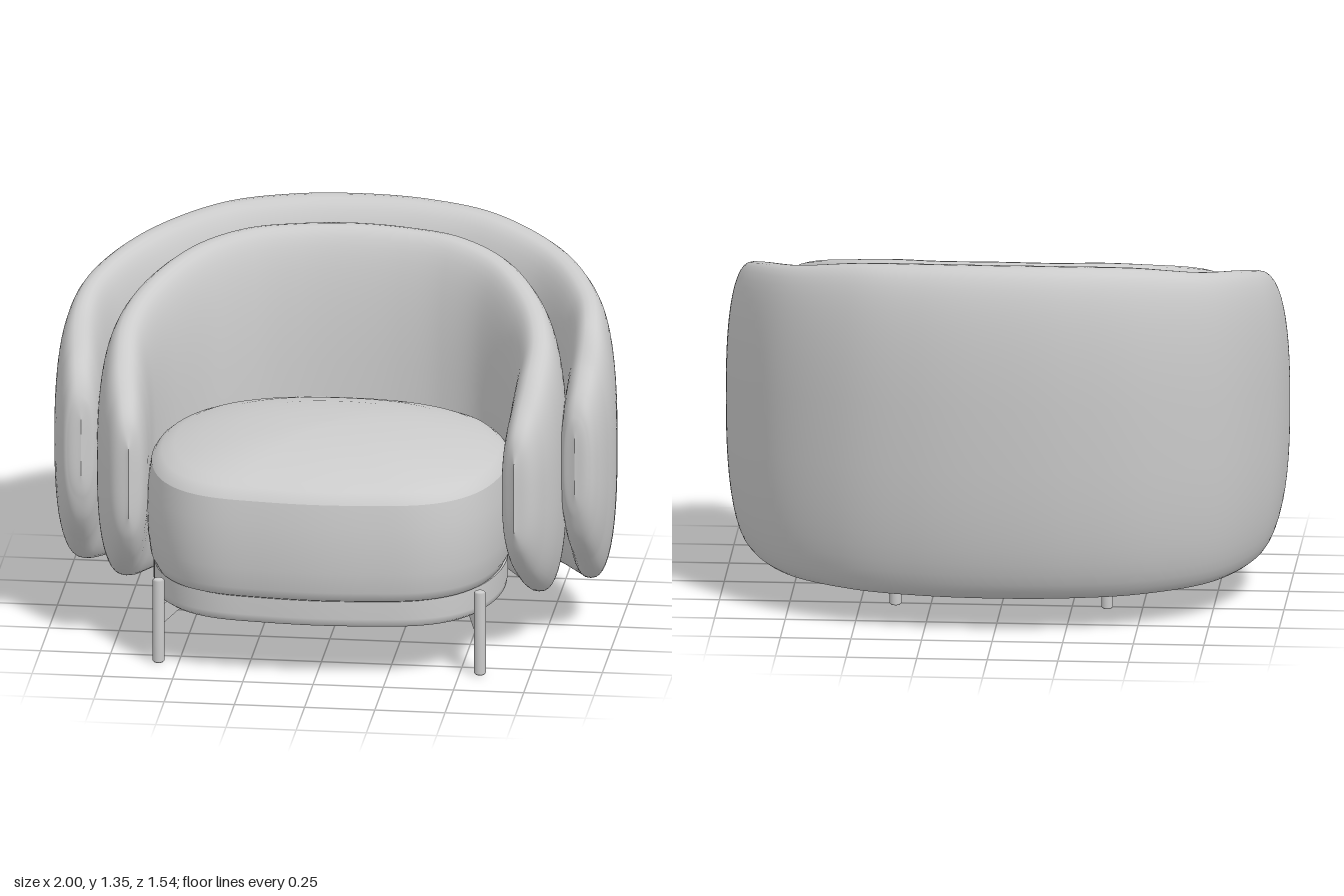
import * as THREE from 'three';

const material = new THREE.MeshStandardMaterial({ color: 0xcccccc, side: THREE.DoubleSide });

function addMesh(group, name, geometry) {
  const mesh = new THREE.Mesh(geometry, material);
  mesh.name = name;
  group.add(mesh);
  return mesh;
}

// Skins a list of closed rings, each an array of [x, y, z]
function loft(rings) {
  const n = rings[0].length, index = [];
  for (let i = 0; i < rings.length - 1; i++) {
    for (let j = 0; j < n; j++) {
      const a = i * n + j, b = i * n + (j + 1) % n;
      index.push(a, b, a + n, b, b + n, a + n);
    }
  }
  const geometry = new THREE.BufferGeometry();
  geometry.setAttribute('position', new THREE.Float32BufferAttribute(rings.flat(2), 3));
  geometry.setIndex(index);
  geometry.computeVertexNormals();
  return geometry;
}

const power = (v, e) => Math.sign(v) * Math.abs(v) ** e;

// Padded shell: oval section swept round the seat.
// Stations run from the middle of the back to the arm tip: x, z, top, bottom, half thickness
function shell(stations, lean) {
  const mirrored = stations.slice(1).reverse().map(([x, ...rest]) => [-x, ...rest]);
  const all = [...mirrored, ...stations];
  const curve = (pick) => new THREE.CatmullRomCurve3(
    all.map((s) => new THREE.Vector3(...pick(s))), false, 'catmullrom', 0.5);
  const path = curve((s) => [s[0], 0, s[1]]);
  const size = curve((s) => [s[2], s[3], s[4]]);
  const steps = 216, sides = 48, rings = [];
  for (let i = 0; i <= steps; i++) {
    const t = i / steps, c = path.getPoint(t), d = path.getTangent(t), s = size.getPoint(t);
    const mid = (s.x + s.y) / 2, half = (s.x - s.y) / 2;
    const ring = [];
    for (let j = 0; j < sides; j++) {
      const a = j / sides * Math.PI * 2;
      const u = power(Math.cos(a), 0.8) * s.z, v = power(Math.sin(a), 0.8);
      const backLean = lean * v * Math.max(d.x, 0) ** 2;
      ring.push([c.x + d.z * u, mid + half * v, c.z - d.x * u - backLean]);
    }
    rings.push(ring);
  }
  return loft(rings);
}

// Rounded seat plan, lofted through [scale, y] pairs
const planHalf = [[0, 0.768], [0.2, 0.755], [0.38, 0.725], [0.49, 0.665], [0.575, 0.56],
  [0.63, 0.4], [0.648, 0.2], [0.615, 0], [0.5, -0.19], [0.3, -0.305], [0, -0.345]];
const plan = new THREE.CatmullRomCurve3(
  [...planHalf, ...planHalf.slice(1, -1).reverse().map(([x, z]) => [-x, z])]
    .map(([x, z]) => new THREE.Vector3(x, 0, z)), true);

function cushion(profile, widen) {
  const points = plan.getPoints(120).slice(0, -1), centre = 0.21;
  return loft(profile.map(([k, y]) =>
    points.map((p) => [p.x * k * widen, y, centre + (p.z - centre) * k])));
}

export function createModel() {
  const group = new THREE.Group();

  addMesh(group, 'outerShell', shell([
    [0, -0.63, 1.35, 0.12, 0.138], [0.25, -0.61, 1.345, 0.12, 0.136],
    [0.49, -0.54, 1.325, 0.12, 0.128], [0.72, -0.385, 1.27, 0.125, 0.112],
    [0.86, -0.15, 1.215, 0.145, 0.1], [0.905, 0.05, 1.15, 0.2, 0.093],
    [0.9, 0.18, 1.03, 0.31, 0.085], [0.89, 0.26, 0.95, 0.41, 0.07],
    [0.882, 0.298, 0.88, 0.51, 0.048], [0.878, 0.313, 0.8, 0.6, 0],
  ], 0.03));

  addMesh(group, 'innerShell', shell([
    [0, -0.435, 1.31, 0.14, 0.11], [0.2, -0.42, 1.305, 0.14, 0.11],
    [0.38, -0.37, 1.295, 0.14, 0.11], [0.545, -0.26, 1.26, 0.14, 0.108],
    [0.67, -0.07, 1.2, 0.14, 0.105], [0.73, 0.12, 1.13, 0.165, 0.1],
    [0.73, 0.28, 1.04, 0.23, 0.095], [0.71, 0.4, 0.94, 0.32, 0.08],
    [0.695, 0.475, 0.86, 0.42, 0.055], [0.685, 0.512, 0.76, 0.52, 0],
  ], 0.025));

  // Repeated pairs keep a crisp seam
  addMesh(group, 'seatCushion', cushion([
    [0, 0.303], [0.92, 0.303], [0.92, 0.303], [0.955, 0.312], [0.98, 0.345], [0.995, 0.42], [1, 0.5],
    [0.995, 0.59], [0.975, 0.672], [0.975, 0.672], [0.955, 0.69], [0.92, 0.709], [0.85, 0.728],
    [0.7, 0.755], [0.5, 0.78], [0.25, 0.796], [0, 0.8],
  ], 1));
  addMesh(group, 'seatBase', cushion([
    [0, 0.205], [0.885, 0.205], [0.885, 0.205], [0.905, 0.215], [0.91, 0.235], [0.91, 0.31],
    [0.91, 0.31], [0, 0.31],
  ], 1.06));

  // Round legs joined by a slanting rail on each side
  const leg = (h) => new THREE.LatheGeometry([[0, 0], [0.016, 0], [0.021, 0.006], [0.021, h - 0.006],
    [0.016, h], [0, h]].map(([x, y]) => new THREE.Vector2(x, y)), 20);
  for (const [side, word] of [[1, 'left'], [-1, 'right']]) {
    const front = new THREE.Vector3(side * 0.572, 0, 0.567);
    const back = new THREE.Vector3(side * 0.375, 0, -0.267);
    addMesh(group, word + 'FrontLeg', leg(0.31)).position.copy(front);
    addMesh(group, word + 'BackLeg', leg(0.21)).position.copy(back);
    const rail = addMesh(group, word + 'Rail',
      new THREE.BoxGeometry(0.025, 0.07, front.distanceTo(back)));
    rail.position.addVectors(front, back).multiplyScalar(0.5).setY(0.175);
    rail.rotation.y = Math.atan2(front.x - back.x, front.z - back.z);
  }
  return group;
}
